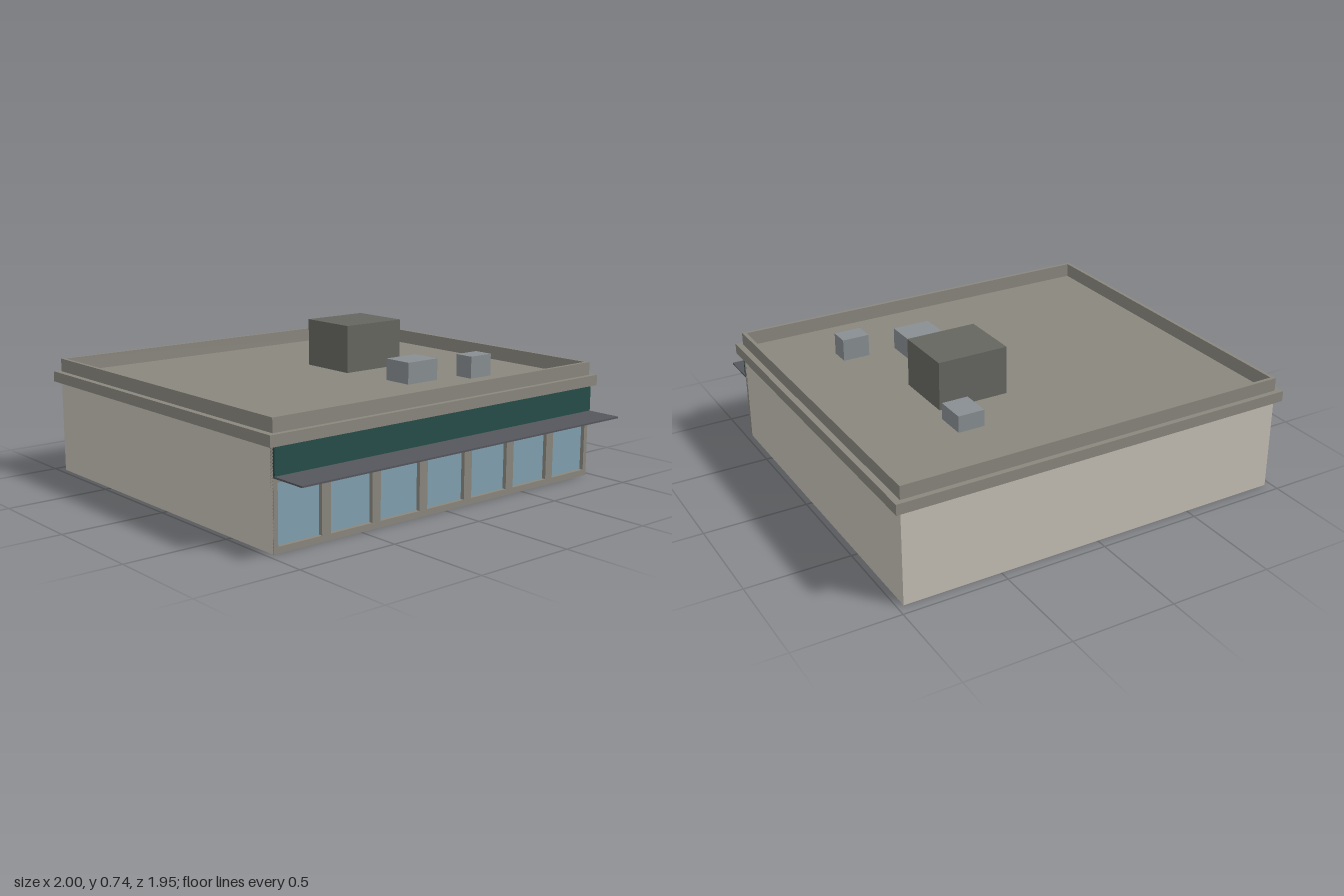
import * as THREE from 'three';

const mat = (color, side = THREE.FrontSide) => new THREE.MeshStandardMaterial({ color, side });
const stone = mat(0x8a877e), cream = mat(0xc5bfb4), green = mat(0x264d4a), slate = mat(0x55575d);
const glass = mat(0x82a0b0), dark = mat(0x17181a), unitDark = mat(0x666660), unitLight = mat(0x888e92);

// Building footprint
const X = 0.97, Z0 = -0.945, Z1 = 0.79, ZC = (Z0 + Z1) / 2, D = Z1 - Z0;

export function createModel() {
  const model = new THREE.Group();

  // Box given by its limits on each axis
  const box = (name, material, x0, x1, y0, y1, z0, z1) => {
    const mesh = new THREE.Mesh(new THREE.BoxGeometry(x1 - x0, y1 - y0, z1 - z0), material);
    mesh.position.set((x0 + x1) / 2, (y0 + y1) / 2, (z0 + z1) / 2);
    mesh.name = name;
    model.add(mesh);
    return mesh;
  };

  const rect = (Type, x0, x1, y0, y1) => new Type([
    new THREE.Vector2(x0, y0), new THREE.Vector2(x1, y0),
    new THREE.Vector2(x1, y1), new THREE.Vector2(x0, y1),
  ]);

  // Rectangular ring lying flat around the building
  const ring = (name, material, halfW, halfD, inX, inZ, y0, y1) => {
    const shape = rect(THREE.Shape, -halfW, halfW, -halfD, halfD);
    shape.holes.push(rect(THREE.Path, -inX, inX, -inZ, inZ));
    const geo = new THREE.ExtrudeGeometry(shape, { depth: y1 - y0, bevelEnabled: false });
    const mesh = new THREE.Mesh(geo.rotateX(-Math.PI / 2), material);
    mesh.position.set(0, y0, ZC);
    mesh.name = name;
    model.add(mesh);
  };

  // Thin outer walls
  const t = 0.01;
  box('backWall', cream, -X, X, 0, 0.46, Z0, Z0 + t);
  for (const s of [-1, 1]) {
    const a = s * X, b = s * (X - t);
    box(s > 0 ? 'leftWall' : 'rightWall', cream, Math.min(a, b), Math.max(a, b), 0, 0.46, Z0, Z1);
  }

  // Dark core set in from the walls
  box('interior', dark, -X + 0.07, X - 0.07, 0.001, 0.45, Z0 + 0.07, Z1 - 0.07);

  // Shopfront wall with seven openings, each with a recessed pane
  const front = rect(THREE.Shape, -X, X, 0, 0.46);
  for (let i = 0; i < 7; i++) {
    const c = (i - 3) * 0.2775, h = 0.115;
    front.holes.push(rect(THREE.Path, c - h, c + h, 0.03, 0.3));
    box('windowPane', glass, c - h - 0.005, c + h + 0.005, 0.025, 0.305, Z1 - 0.03, Z1 - 0.02);
  }
  const frontWall = new THREE.Mesh(
    new THREE.ExtrudeGeometry(front, { depth: 0.02, bevelEnabled: false }), stone);
  frontWall.position.z = Z1 - 0.018;
  frontWall.name = 'frontWall';
  model.add(frontWall);

  // Sign band and flat awning
  box('signBand', green, -X, X, 0.33, 0.456, Z1, 0.803);
  box('awning', slate, -X, X, 0.321, 0.329, Z1, 0.978);

  // Roof with cornice and parapet
  box('roofDeck', stone, -X + 0.01, X - 0.01, 0.47, 0.5, Z0 + 0.01, Z1 - 0.01);
  ring('cornice', stone, 1, D / 2 + 0.025, X - 0.015, D / 2 - 0.015, 0.455, 0.506);
  ring('parapet', stone, X, D / 2, X - 0.018, D / 2 - 0.018, 0.5, 0.57);

  // Rooftop equipment
  box('plantRoom', unitDark, 0.11, 0.46, 0.495, 0.735, -0.33, -0.025);
  box('roofUnit', unitLight, 0.14, 0.33, 0.495, 0.605, 0.23, 0.385);
  box('roofUnit', unitLight, 0.475, 0.61, 0.495, 0.608, 0.37, 0.47);
  box('roofUnit', unitLight, 0.36, 0.49, 0.495, 0.58, -0.56, -0.41);

  return model;
}
